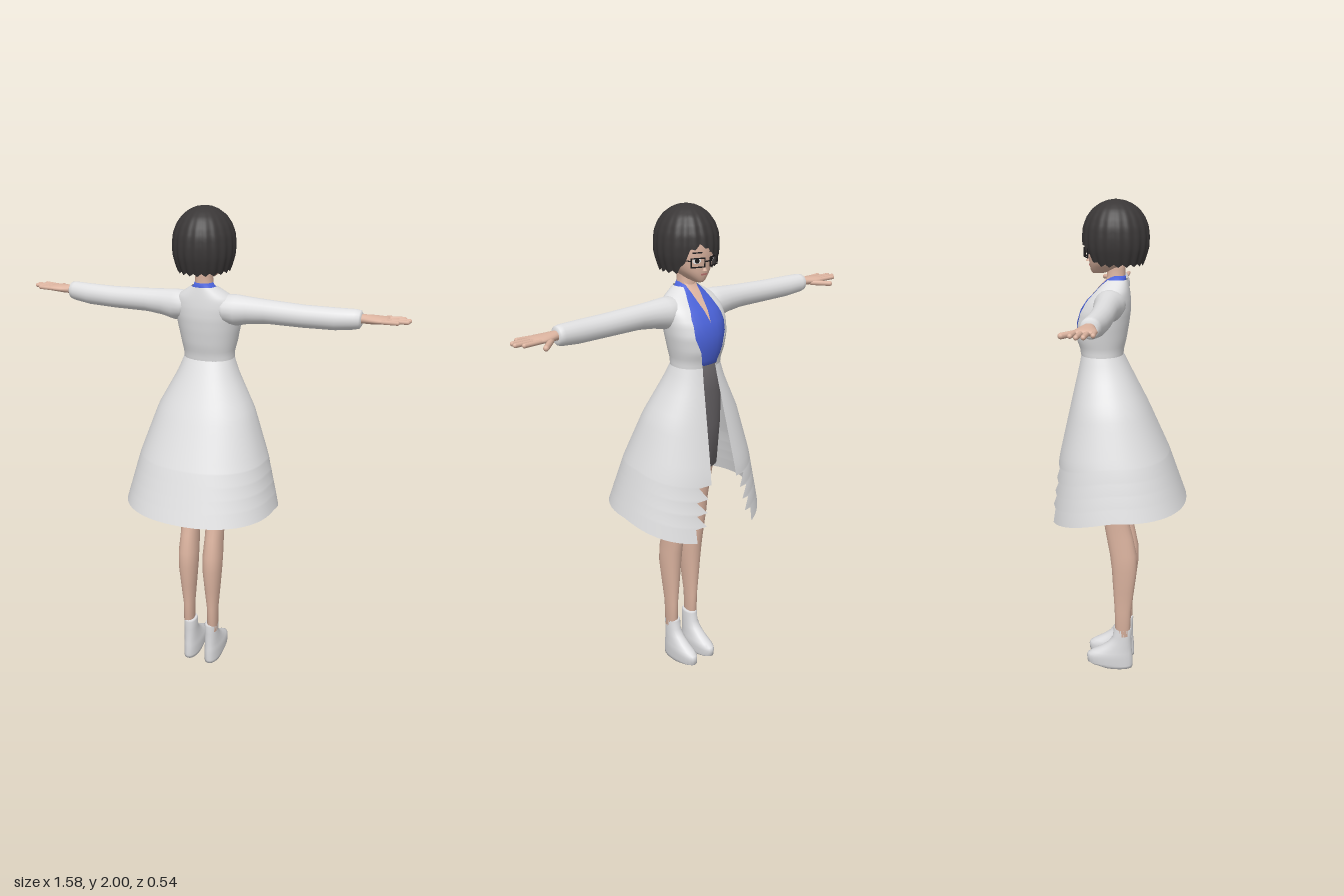
import * as THREE from 'three';

const mat = (name, color, side = THREE.FrontSide) => {
  const m = new THREE.MeshStandardMaterial({ color, side });
  m.name = name;
  return m;
};

// Surface from fn(i, j): i runs around, j runs along
function grid(nu, nv, fn, closed) {
  const pos = [], idx = [], cols = closed ? nu : nu + 1;
  for (let j = 0; j <= nv; j++) for (let i = 0; i < cols; i++) pos.push(...fn(i, j));
  for (let j = 0; j < nv; j++) for (let i = 0; i < nu; i++) {
    const a = j * cols + i, b = j * cols + (i + 1) % cols, c = a + cols, d = b + cols;
    idx.push(a, b, c, b, d, c);
  }
  const g = new THREE.BufferGeometry();
  g.setAttribute('position', new THREE.Float32BufferAttribute(pos, 3));
  g.setIndex(idx);
  g.computeVertexNormals();
  return g;
}

// Linear lookup in rows [key, ...values]; keys may rise or fall
function sample(rows, k) {
  const dir = Math.sign(rows[rows.length - 1][0] - rows[0][0]);
  let i = 0;
  while (i < rows.length - 2 && (rows[i + 1][0] - k) * dir < 0) i++;
  const [p, q] = [rows[i], rows[i + 1]];
  const t = THREE.MathUtils.clamp((k - p[0]) / (q[0] - p[0]), 0, 1);
  return p.map((v, n) => v + (q[n] - v) * t);
}

// Point on a body section [y, halfWidth, zBack, zFront]; angle 0 faces -z, 90 degrees faces +x
const P = 0.9;
const pw = (v) => Math.sign(v) * Math.abs(v) ** P;
function onBody([y, rx, zb, zf], a, off = 0) {
  return [(rx + off) * pw(Math.sin(a)), y, (zb + zf) / 2 - ((zb - zf) / 2 + off) * pw(Math.cos(a))];
}
const angleAt = (x, rx) => Math.asin(Math.min(0.98, x / rx) ** (1 / P));

// Closed upright body made of sections listed from top to bottom
function body(rows, cx = 0, off = 0, n = 28) {
  const first = rows[0], last = rows[rows.length - 1];
  const tip = ([y, , b, f]) => [y, 0, (b + f) / 2, (b + f) / 2];
  const all = [tip(first), ...rows, tip(last)];
  return grid(n, all.length - 1, (i, j) => {
    const p = onBody(all[j], i / n * Math.PI * 2, j === 0 || j === all.length - 1 ? 0 : off);
    return [p[0] + cx, p[1], p[2]];
  }, true);
}

// Limb along +x from rings [x, y, z, ry, rz]
function limb(rings, n = 18) {
  const a = rings[0], b = rings[rings.length - 1];
  const all = [[...a.slice(0, 3), 0, 0], ...rings, [...b.slice(0, 3), 0, 0]];
  return grid(n, all.length - 1, (i, j) => {
    const [x, y, z, ry, rz] = all[j], t = i / n * Math.PI * 2;
    return [x, y + ry * Math.sin(t), z - rz * Math.cos(t)];
  }, true);
}

function mirrored(geo) {
  const g = geo.clone().scale(-1, 1, 1);
  const ix = g.index ? [...g.index.array] : [...Array(g.attributes.position.count).keys()];
  for (let i = 0; i < ix.length; i += 3) [ix[i], ix[i + 1]] = [ix[i + 1], ix[i]];
  g.setIndex(ix);
  return g;
}

// Rounded rod between two points
function rod(from, to, r) {
  const a = new THREE.Vector3(...from), b = new THREE.Vector3(...to), d = b.clone().sub(a);
  const g = new THREE.CapsuleGeometry(r, d.length() - r, 4, 10);
  g.applyQuaternion(new THREE.Quaternion().setFromUnitVectors(new THREE.Vector3(0, 1, 0), d.normalize()));
  return g.translate(...a.add(b).multiplyScalar(0.5).toArray());
}

export function createModel() {
  const D = THREE.DoubleSide;
  const skin = mat('skin', 0xdcb4a0), hairM = mat('hair', 0x3a3737, D), coat = mat('coatWhite', 0xe0e0e1, D);
  const blue = mat('shirtBlue', 0x4a62d8, D), grey = mat('skirtGrey', 0x686467, D), shoe = mat('shoeWhite', 0xdcdcde);
  const black = mat('frameBlack', 0x1c1a1c), white = mat('eyeWhite', 0xf0eeee), lip = mat('lipPink', 0xb8736e);
  const model = new THREE.Group();
  const add = (name, geo, m) => {
    const mesh = new THREE.Mesh(geo, m);
    mesh.name = name;
    model.add(mesh);
  };
  const pair = (name, geo, m) => {
    add(name + 'Left', geo, m);
    add(name + 'Right', mirrored(geo), m);
  };

  // Torso: shirt, open coat front and bare neckline share one shape
  const torso = [[1.715, 0.04, 0.03, -0.045], [1.70, 0.047, 0.032, -0.052], [1.68, 0.078, 0.036, -0.072],
    [1.655, 0.115, 0.04, -0.095], [1.62, 0.128, 0.044, -0.13], [1.58, 0.128, 0.044, -0.157], [1.53, 0.122, 0.038, -0.172],
    [1.47, 0.11, 0.028, -0.168], [1.43, 0.101, 0.018, -0.154], [1.405, 0.1, 0.015, -0.15]];
  add('shirt', body(torso, 0, -0.005), blue);
  const lapel = [[1.70, 0.036], [1.66, 0.055], [1.6, 0.075], [1.53, 0.075], [1.47, 0.05], [1.405, 0.032]];
  add('coatTop', grid(40, 24, (i, j) => {
    const s = sample(torso, 1.70 - j / 24 * 0.295), a0 = angleAt(sample(lapel, s[0])[1], s[1]);
    return onBody(s, a0 + (Math.PI * 2 - 2 * a0) * i / 40, 0.002);
  }), coat);
  add('neckline', grid(8, 14, (i, j) => {
    const s = sample(torso, 1.716 - j / 14 * 0.136), a0 = angleAt(0.03 * (1 - j / 14), s[1]);
    return onBody(s, a0 * (i / 4 - 1), -0.002);
  }), skin);

  // Flared coat tail with torn front edges; rows are [fraction down, half opening]
  const flare = [[1.41, 0.1, 0.015, -0.15], [1.35, 0.122, 0.045, -0.162], [1.2, 0.2, 0.12, -0.196],
    [1.0, 0.267, 0.21, -0.242], [0.8, 0.316, 0.282, -0.272], [0.7, 0.335, 0.31, -0.286]];
  const edge = [];
  for (let i = 0; i <= 12; i++) edge.push([i / 12 * 0.66, 0.032 + i / 12 * 0.035]);
  edge.push([0.67, 0.12], [0.74, 0.085], [0.755, 0.135], [0.82, 0.095], [0.835, 0.14], [0.9, 0.105], [0.915, 0.15], [1, 0.15]);
  add('coatTail', grid(48, edge.length - 1, (i, j) => {
    const [t, open] = edge[j];
    const at = (u) => {
      const a0 = angleAt(open, sample(flare, 1.41 - t * 0.69)[1]);
      return a0 + (Math.PI * 2 - 2 * a0) * u;
    };
    const a = at(i / 48), hem = 0.8 - 0.08 * Math.max(0, Math.cos(a)) ** 1.2;
    return onBody(sample(flare, 1.41 + (hem - 1.41) * t), a);
  }), coat);

  // Short skirt
  add('skirt', body([[1.415, 0.095, 0.01, -0.146], [1.3, 0.118, 0.035, -0.148], [1.15, 0.125, 0.045, -0.14],
    [0.96, 0.118, 0.035, -0.125]]), grey);

  // Arms and hands
  pair('sleeve', limb([[0.05, 1.625, -0.025, 0.03, 0.05], [0.09, 1.615, -0.028, 0.056, 0.062], [0.13, 1.612, -0.03, 0.06, 0.058],
    [0.18, 1.616, -0.03, 0.052, 0.05], [0.25, 1.618, -0.03, 0.046, 0.045], [0.4, 1.615, -0.03, 0.043, 0.042],
    [0.52, 1.616, -0.036, 0.042, 0.04], [0.59, 1.62, -0.043, 0.038, 0.037], [0.608, 1.621, -0.045, 0.034, 0.034],
    [0.614, 1.621, -0.045, 0.024, 0.026]]), coat);
  pair('palm', limb([[0.58, 1.622, -0.046, 0.018, 0.02], [0.62, 1.624, -0.047, 0.017, 0.023], [0.65, 1.624, -0.05, 0.016, 0.034],
    [0.68, 1.625, -0.05, 0.014, 0.04], [0.705, 1.626, -0.05, 0.011, 0.038], [0.715, 1.626, -0.05, 0.006, 0.034]]), skin);
  [[0.765, -0.09], [0.787, -0.068], [0.784, -0.045], [0.752, -0.018]].forEach(([x, z], i) =>
    pair('finger' + (i + 1), rod([0.69, 1.625, -0.08 + i * 0.02], [x, 1.627, z], 0.0085), skin));
  pair('thumb', rod([0.645, 1.618, -0.07], [0.706, 1.615, -0.13], 0.0105), skin);

  // Legs and platform shoes
  pair('leg', body([[1.05, 0.052, 0.025, -0.105], [0.95, 0.05, 0.025, -0.095], [0.8, 0.042, 0.03, -0.07], [0.72, 0.038, 0.04, -0.064],
    [0.63, 0.037, 0.062, -0.05], [0.55, 0.041, 0.078, -0.036], [0.48, 0.04, 0.08, -0.028], [0.38, 0.032, 0.068, -0.022],
    [0.28, 0.023, 0.055, -0.016], [0.16, 0.022, 0.052, -0.014]], 0.056, 0, 20), skin);
  pair('shoe', body([[0.197, 0.024, 0.054, -0.017], [0.19, 0.028, 0.058, -0.021], [0.15, 0.028, 0.056, -0.025], [0.12, 0.03, 0.057, -0.045],
    [0.095, 0.032, 0.058, -0.08], [0.075, 0.035, 0.06, -0.118], [0.064, 0.037, 0.061, -0.136], [0.05, 0.037, 0.062, -0.141],
    [0.022, 0.036, 0.063, -0.138], [0.012, 0.034, 0.062, -0.12], [0, 0.032, 0.061, -0.08]], 0.05, 0, 22), shoe);

  // Neck, head and face
  add('neck', body([[1.79, 0.036, 0.03, -0.045], [1.74, 0.033, 0.024, -0.046], [1.7, 0.035, 0.024, -0.048], [1.66, 0.045, 0.028, -0.055]]), skin);
  add('head', body([[1.955, 0.045, 0.03, -0.06], [1.93, 0.07, 0.055, -0.095], [1.88, 0.088, 0.075, -0.115], [1.83, 0.09, 0.078, -0.12],
    [1.8, 0.084, 0.065, -0.115], [1.77, 0.068, 0.035, -0.116], [1.75, 0.05, 0.01, -0.113], [1.733, 0.03, -0.025, -0.11],
    [1.723, 0.014, -0.06, -0.102]]), skin);
  add('nose', new THREE.ConeGeometry(0.009, 0.028, 8).scale(1, 1, 1.3).translate(0, 1.783, -0.117), skin);
  add('mouth', new THREE.BoxGeometry(0.026, 0.006, 0.008).translate(0, 1.755, -0.112), lip);
  const face = (g, x, y, z) => g.rotateY(Math.PI - 0.36).translate(x, y, z);
  pair('eye', face(new THREE.CircleGeometry(0.017, 20).scale(1, 0.65, 1), 0.036, 1.808, -0.114), white);
  pair('iris', face(new THREE.CircleGeometry(0.009, 16), 0.0355, 1.808, -0.116), black);
  pair('brow', face(new THREE.BoxGeometry(0.036, 0.004, 0.004), 0.036, 1.838, -0.117), black);

  // Glasses
  const box = (s, w, h) => s.moveTo(-w, -h).lineTo(w, -h).lineTo(w, h).lineTo(-w, h).closePath();
  const rim = box(new THREE.Shape(), 0.029, 0.018);
  rim.holes.push(box(new THREE.Path(), 0.025, 0.014));
  pair('glassesRim', face(new THREE.ExtrudeGeometry(rim, { depth: 0.004, bevelEnabled: false }), 0.038, 1.803, -0.122), black);
  add('glassesBridge', new THREE.BoxGeometry(0.024, 0.004, 0.004).translate(0, 1.806, -0.133), black);
  pair('glassesArm', rod([0.066, 1.81, -0.112], [0.094, 1.815, -0.02], 0.002), black);

  // Bobbed hair: ridged locks, zigzag hem, fringe swept to the right; hem rows are [angle, y]
  const cap = [[2.0, 0.004], [1.996, 0.03], [1.985, 0.056], [1.965, 0.083], [1.935, 0.104], [1.9, 0.117], [1.86, 0.121],
    [1.82, 0.119], [1.78, 0.108], [1.74, 0.093]];
  const hem = [[-3.15, 1.753], [-1.15, 1.755], [-0.85, 1.765], [-0.5, 1.803], [-0.1, 1.835], [0.25, 1.862], [0.6, 1.845], [0.85, 1.79],
    [1.05, 1.76], [3.15, 1.753]];
  const N = 120;
  add('hair', grid(N, 22, (i, j) => {
    const a = (i / N - 0.5) * Math.PI * 2, k = (i % 6) / 6, t = j / 22;
    const low = sample(hem, a)[1] + 0.022 * Math.abs(k - 0.5);
    const y = 2.0 - (2.0 - low) * t ** 1.6;
    const r = sample(cap, y)[1] * (1 - 0.05 * t * Math.abs(k - 0.5) * 2);
    return [r * Math.sin(a), y, -0.012 - r * 1.08 * Math.cos(a)];
  }, true), hairM);
  return model;
}
